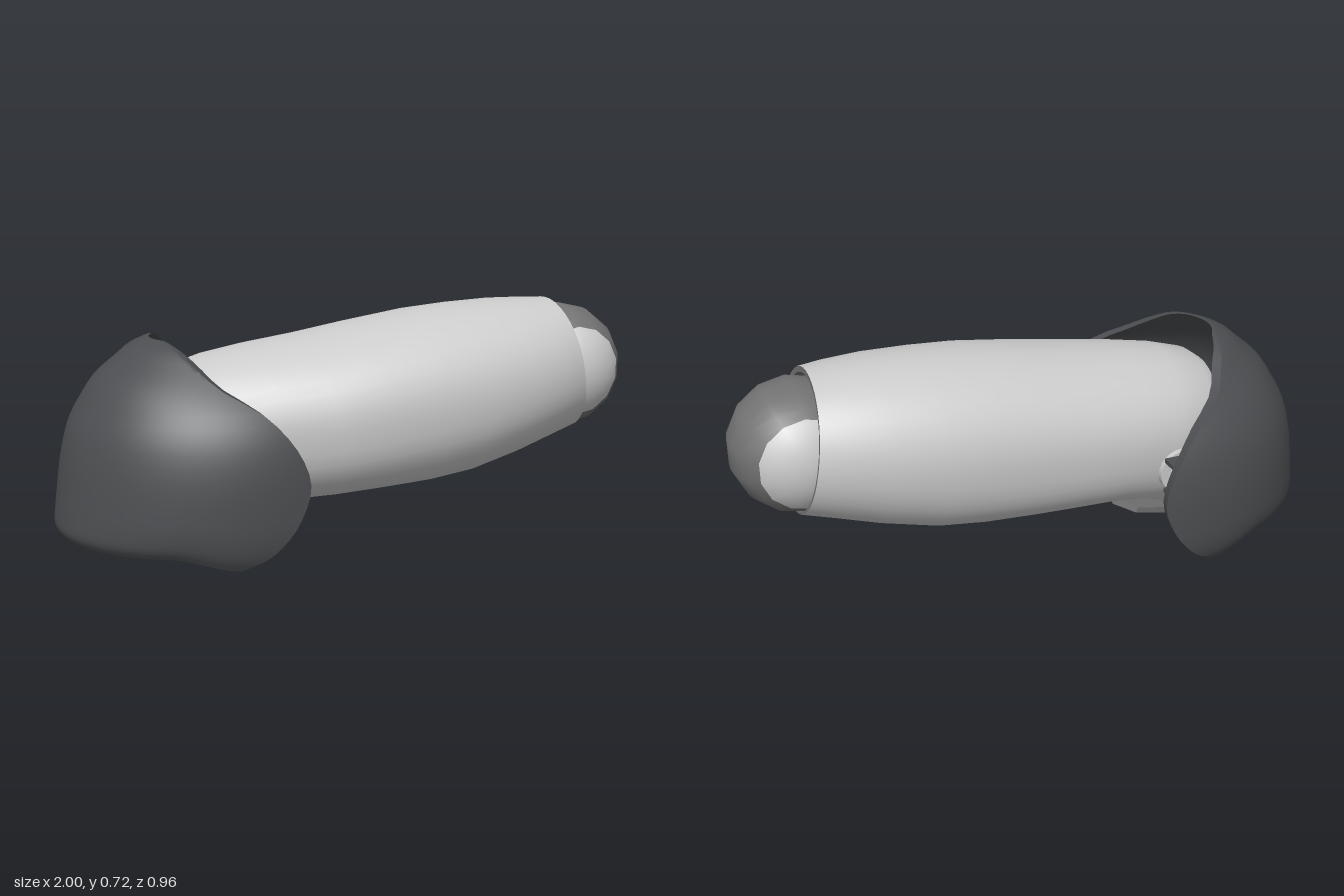
import * as THREE from 'three';
import { toCreasedNormals } from 'three/addons/utils/BufferGeometryUtils.js';

const mat = (color) => new THREE.MeshStandardMaterial({ color, side: THREE.DoubleSide });
const light = mat(0xcccccc);
const mid = mat(0x727272);
const dark = mat(0x4c4e51);

// Skins a list of closed loops that all have the same number of points.
function loft(loops, crease = 0.7) {
  const n = loops[0].length;
  const index = [];
  for (let i = 0; i < loops.length - 1; i++) {
    for (let j = 0; j < n; j++) {
      const k = (j + 1) % n;
      const a = i * n + j, b = (i + 1) * n + j, c = (i + 1) * n + k, d = i * n + k;
      index.push(a, b, c, a, c, d);
    }
  }
  const geometry = new THREE.BufferGeometry();
  geometry.setAttribute('position', new THREE.Float32BufferAttribute(loops.flat(2), 3));
  geometry.setIndex(index);
  return toCreasedNormals(geometry, crease);
}

function add(parent, name, geometry, material, x = 0, y = 0, z = 0) {
  const mesh = new THREE.Mesh(geometry, material);
  mesh.name = name;
  mesh.position.set(x, y, z);
  parent.add(mesh);
  return mesh;
}

// Section across the sleeve: round above, flatter below, fuller on one side.
function sleeveLoop([xTop, xBottom, yTop, yBottom, zLeft, zRight, lower = 0.76]) {
  const loop = [];
  const yc = (yTop + yBottom) / 2, h = (yTop - yBottom) / 2;
  for (let j = 0; j < 40; j++) {
    const a = (j / 40) * Math.PI * 2;
    const c = Math.cos(a), s = Math.sin(a);
    const p = s < 0 ? lower : 0.98;
    const v = Math.sign(s) * Math.abs(s) ** p;
    const w = Math.sign(c) * Math.abs(c) ** p;
    loop.push([
      THREE.MathUtils.lerp(xBottom, xTop, (v + 1) / 2),
      yc + h * v,
      w * (c > 0 ? zLeft : zRight),
    ]);
  }
  return loop;
}

// Sleeve rows: xTop, xBottom, yTop, yBottom, zLeft, zRight, squareness below
const sleeveRows = [
  [-0.66, -0.50, 0.30, 0.29, 0.01, 0.01],
  [-0.66, -0.50, 0.53, 0.08, 0.24, 0.24],
  [-0.62, -0.46, 0.56, 0.055, 0.27, 0.27],
  [-0.50, -0.36, 0.595, 0.09, 0.285, 0.285],
  [-0.36, -0.25, 0.62, 0.108, 0.305, 0.295],
  [-0.18, -0.12, 0.645, 0.113, 0.335, 0.298],
  [0.0, 0.03, 0.675, 0.12, 0.34, 0.302],
  [0.2, 0.22, 0.705, 0.127, 0.335, 0.303, 0.8],
  [0.36, 0.38, 0.718, 0.143, 0.322, 0.302, 0.85],
  [0.52, 0.56, 0.725, 0.187, 0.298, 0.288, 0.9],
  [0.65, 0.70, 0.723, 0.228, 0.265, 0.262, 0.95],
  [0.73, 0.81, 0.72, 0.258, 0.225, 0.235, 0.98],
];
// Rim and inside of the open end
const socketRows = [
  [0.73, 0.81, 0.72, 0.258, 0.225, 0.235, 0.98],
  [0.73, 0.81, 0.70, 0.266, 0.216, 0.222, 0.98],
  [0.62, 0.66, 0.69, 0.28, 0.21, 0.21, 0.98],
  [0.62, 0.66, 0.49, 0.48, 0.01, 0.01, 0.98],
];

// Curved guard: each level is part of an ellipse, cut off where the guard ends in front.
function guard() {
  const levels = [0, 0.03, 0.1, 0.17, 0.25, 0.33, 0.41, 0.48, 0.54, 0.6, 0.64, 0.66];
  // xBack, xFront, half width at each level
  const values = [
    [-0.985, -0.52, 0.445], [-1, -0.45, 0.462], [-0.997, -0.37, 0.478],
    [-0.99, -0.325, 0.48], [-0.98, -0.3, 0.478], [-0.965, -0.32, 0.468],
    [-0.94, -0.37, 0.445], [-0.9, -0.44, 0.405], [-0.86, -0.54, 0.35],
    [-0.79, -0.6, 0.285], [-0.74, -0.64, 0.235], [-0.69, -0.665, 0.2],
  ];
  const profile = new THREE.CubicInterpolant(levels, values.flat(), 3);
  const xc = -0.42, top = 0.66, rows = 28, steps = 48;
  const heights = Array.from({ length: rows + 1 }, (_, i) => (top * (1 - Math.cos((i / rows) * Math.PI))) / 2);
  const point = (y, s, thickness) => {
    const [xBack, xFront, b] = profile.evaluate(y);
    // The wall thins out towards its lower and upper edges.
    const edge = Math.min(1, Math.min(y, top - y) / 0.06);
    const inset = thickness * (0.25 + 0.75 * Math.sqrt(edge));
    const a = xc - xBack;
    const angle = s * Math.acos((xc - xFront) / a);
    const x = xc - (a - inset) * Math.cos(angle);
    const lift = 0.042 * THREE.MathUtils.smoothstep(-x, 0.5, 0.72);
    return [x, y + lift * Math.max(0, 1 - y / 0.2), (b - inset) * Math.sin(angle)];
  };
  const loops = [];
  for (let i = 0; i <= steps; i++) {
    const s = (i / steps) * 2 - 1;
    const outer = heights.map((y) => point(y, s, 0));
    const inner = heights.map((y) => point(y, s, 0.037)).reverse();
    loops.push([...outer, ...inner]);
  }
  // Close both ends by folding the end loop onto its middle line.
  const fold = (loop) => loop.map((p, k) => p.map((v, c) => (v + loop[loop.length - 1 - k][c]) / 2));
  return loft([fold(loops[0]), ...loops, fold(loops[steps])], 0.8);
}

// Slice of a ball between two heights on its own axis.
function ballSlice(radius, from, to) {
  const points = [];
  for (let i = 0; i <= 10; i++) {
    const a = THREE.MathUtils.lerp(Math.asin(from / radius), Math.asin(to / radius), i / 10);
    points.push(new THREE.Vector2(Math.max(0, radius * Math.cos(a)), radius * Math.sin(a)));
  }
  return new THREE.LatheGeometry(points, 14).rotateX(Math.PI / 2);
}

export function createModel() {
  const model = new THREE.Group();
  model.name = 'armSegment';
  add(model, 'sleeve', loft(sleeveRows.map(sleeveLoop)), light);
  add(model, 'socket', loft(socketRows.map(sleeveLoop)), mid);
  add(model, 'elbowGuard', guard(), dark);

  // Ball joint with a dark band between two light sides
  const ball = new THREE.Group();
  ball.name = 'ballJoint';
  ball.position.set(0.78, 0.48, 0);
  model.add(ball);
  const r = 0.219, band = 0.155;
  add(ball, 'ballBand', ballSlice(r, -band, band), mid);
  add(ball, 'ballSideLeft', ballSlice(r, band, r), light);
  add(ball, 'ballSideRight', ballSlice(r, -r, -band), light);

  // Flat plate under the sleeve near the guard
  const plate = new THREE.Shape();
  [[-0.11, -0.19], [0.04, -0.2], [0.1, -0.14], [0.1, 0.14], [0.04, 0.2], [-0.11, 0.19]].forEach(([x, y], i) =>
    i ? plate.lineTo(x, y) : plate.moveTo(x, y));
  const plateGeometry = new THREE.ExtrudeGeometry(plate, { depth: 0.02, bevelEnabled: false });
  plateGeometry.rotateX(Math.PI / 2);
  add(model, 'underPlate', plateGeometry, mid, -0.375, 0.093, 0).rotation.z = 0.25;

  // Pivot pins and brackets that hold the guard on both sides
  for (const side of [1, -1]) {
    const pivot = new THREE.Group();
    pivot.name = side > 0 ? 'pivotLeft' : 'pivotRight';
    pivot.position.set(-0.44, 0.275, 0);
    model.add(pivot);
    const pin = new THREE.CylinderGeometry(0.042, 0.042, 0.13, 20).rotateX(Math.PI / 2);
    add(pivot, 'pin', pin, light, 0, 0, side * 0.315);
    const washer = new THREE.CylinderGeometry(0.075, 0.075, 0.03, 24).rotateX(Math.PI / 2);
    add(pivot, 'washer', washer, light, 0, 0, side * 0.29);
    for (const y of [-0.055, 0.055]) {
      add(pivot, 'bracketPlate', new THREE.BoxGeometry(0.13, 0.015, 0.14), dark, 0, y, side * 0.375);
    }
  }
  return model;
}
